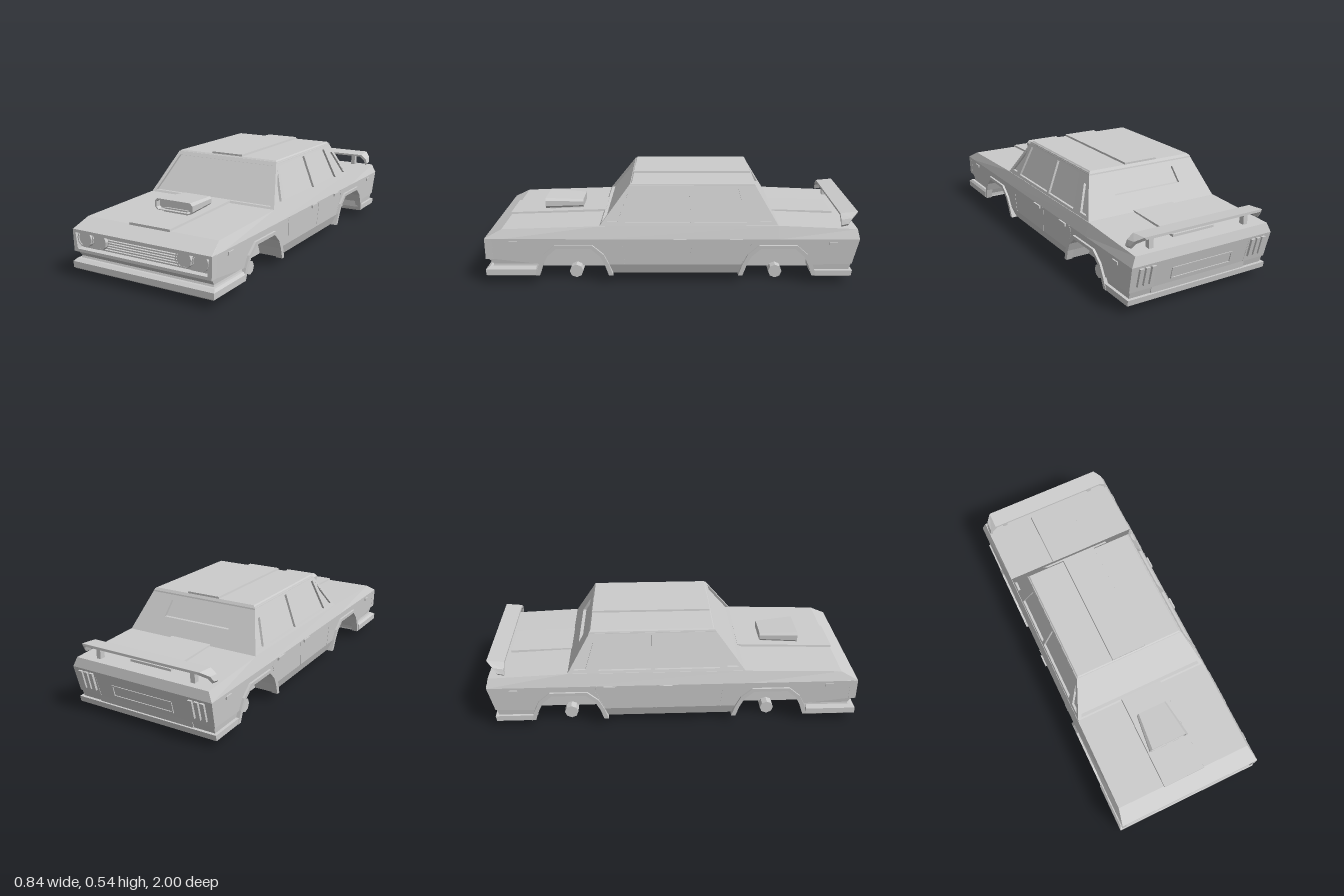
import * as THREE from 'three';

const lerp = THREE.MathUtils.lerp;
const ramp = (y, y0, a, y1, b) => lerp(a, b, (y - y0) / (y1 - y0));

// Surface rules: half width of the shell, and z of windscreen, rear screen and tail at height y
const halfWidth = y => y > 0.31 ? ramp(y, 0.31, 0.39, 0.525, 0.312)
  : y > 0.25 ? ramp(y, 0.25, 0.412, 0.31, 0.39) : ramp(y, 0.105, 0.405, 0.25, 0.412);
const screenZ = y => ramp(y, 0.31, 0.395, 0.525, 0.23);
const rearScreenZ = y => ramp(y, 0.31, -0.56, 0.525, -0.43);
const tailZ = y => ramp(y, 0.11, -0.952, 0.25, -0.985);

export function createModel() {
  const model = new THREE.Group();
  const material = new THREE.MeshStandardMaterial({ color: 0xcccccc, flatShading: true });

  // Adds a closed solid, turning its faces outward if they point inward
  function add(name, geometry) {
    const g = geometry.index ? geometry.toNonIndexed() : geometry;
    const p = g.attributes.position;
    const a = new THREE.Vector3(), b = new THREE.Vector3(), c = new THREE.Vector3();
    let volume = 0;
    for (let i = 0; i < p.count; i += 3) {
      a.fromBufferAttribute(p, i); b.fromBufferAttribute(p, i + 1); c.fromBufferAttribute(p, i + 2);
      volume += a.dot(b.cross(c));
    }
    if (volume < 0) for (let i = 0; i < p.count; i += 3) {
      b.fromBufferAttribute(p, i + 1); c.fromBufferAttribute(p, i + 2);
      p.setXYZ(i + 1, c.x, c.y, c.z); p.setXYZ(i + 2, b.x, b.y, b.z);
    }
    g.computeVertexNormals();
    const mesh = new THREE.Mesh(g, material);
    mesh.name = name;
    model.add(mesh);
  }

  // Skins a row of equal cross-sections and caps both ends
  function loft(name, rings) {
    const n = rings[0].length, index = [];
    for (let r = 0; r < rings.length - 1; r++) for (let i = 0; i < n; i++) {
      const a = r * n + i, b = r * n + (i + 1) % n;
      index.push(a, b, b + n, a, b + n, a + n);
    }
    const last = (rings.length - 1) * n;
    for (let i = 1; i < n - 1; i++) index.push(0, i + 1, i, last, last + i, last + i + 1);
    const g = new THREE.BufferGeometry();
    g.setAttribute('position', new THREE.Float32BufferAttribute(rings.flat(2), 3));
    g.setIndex(index);
    add(name, g);
  }

  // Stack of rectangles: [y, front z, back z, half width]
  const stack = (name, levels) => loft(name, levels.map(([y, f, b, x]) =>
    [[-x, y, f], [x, y, f], [x, y, b], [-x, y, b]]));

  // Extruded outline with holes, bent into place by a rule
  function sheet(name, outline, holes, depth, place) {
    const toPts = list => list.map(q => new THREE.Vector2(...q));
    const shape = new THREE.Shape(toPts(outline));
    shape.holes = holes.map(h => new THREE.Path(toPts(h)));
    const g = new THREE.ExtrudeGeometry(shape, { depth, bevelEnabled: false });
    const p = g.attributes.position;
    for (let i = 0; i < p.count; i++) p.setXYZ(i, ...place(p.getX(i), p.getY(i), p.getZ(i)));
    add(name, g);
  }

  // Outline in (z, y) following both flanks, standing proud by out
  function flanks(name, outline, holes, depth, out = 0) {
    for (const s of [1, -1]) sheet(name, outline, holes, depth,
      (z, y, d) => [s * (halfWidth(y) + out - depth + d), y, z]);
  }
  const rect = (x0, x1, y0, y1) => [[x0, y0], [x1, y0], [x1, y1], [x0, y1]];
  const trapezoid = (xb, xt, y0, y1) => [[-xb, y0], [xb, y0], [xt, y1], [-xt, y1]];

  const wheels = [0.53, -0.555];
  const arch = (c, pts) => [...pts.map(([d, y]) => [c - d, y]), ...pts.map(([d, y]) => [c + d, y]).reverse()];
  const archInner = [[0.185, 0.045], [0.165, 0.105], [0.14, 0.155], [0.09, 0.2]];
  const archOuter = [[0.208, 0.045], [0.187, 0.11], [0.16, 0.165], [0.1, 0.218]];

  // Lower body: flanks with wheel arches, centre tub and sills
  const cut = archInner.slice(1);
  flanks('bodySide', [[0.965, 0.25], [-0.985, 0.25], [-0.952, 0.11],
    ...arch(wheels[1], cut), ...arch(wheels[0], cut), [0.965, 0.138]], [], 0.135);
  stack('floorTub', [[0.05, 0.96, -0.94, 0.28], [0.11, 0.96, -0.95, 0.28], [0.25, 0.965, -0.985, 0.28]]);
  stack('sill', [[0.05, 0.345, -0.37, 0.385], [0.105, 0.365, -0.39, 0.405]]);
  for (const c of wheels) {
    flanks('wheelArchFlare', [...arch(c, archOuter), ...arch(c, archInner).reverse()], [], 0.035, 0.012);
    const axle = new THREE.CylinderGeometry(0.037, 0.037, 0.66, 8);
    axle.rotateZ(Math.PI / 2).translate(0, 0.037, c);
    add('axle', axle);
  }

  // Bumpers with the recessed bands above them
  stack('frontValance', [[0.07, 0.975, 0.725, 0.4], [0.105, 0.96, 0.705, 0.395], [0.142, 0.99, 0.72, 0.4]]);
  stack('frontBumper', [[0.042, 0.99, 0.735, 0.41], [0.05, 1, 0.735, 0.42],
    [0.082, 1, 0.73, 0.42], [0.095, 0.98, 0.73, 0.41]]);
  stack('rearValance', [[0.065, -0.73, -0.935, 0.395], [0.115, -0.73, -0.95, 0.4]]);
  stack('rearBumper', [[0.035, -0.76, -0.935, 0.395], [0.045, -0.755, -0.95, 0.412], [0.075, -0.75, -0.955, 0.412]]);

  // Bonnet, shoulder and boot deck: [lower z, upper z, upper y, upper half width]
  loft('upperDeck', [[1, 1, 0.252, 0.41], [0.91, 0.91, 0.298, 0.39], [0.39, 0.39, 0.315, 0.39],
    [-0.56, -0.56, 0.318, 0.39], [-0.985, -0.975, 0.3, 0.39]].map(([zb, zt, y, x]) =>
    [[-0.412, 0.25, zb], [0.412, 0.25, zb], [x, y, zt], [-x, y, zt]]));
  const stripe = (name, x, stations) => loft(name, stations.map(([z, y]) =>
    [[-x - 0.008, y - 0.04, z], [x + 0.008, y - 0.04, z], [x, y, z], [-x, y, z]]));
  stripe('bonnetBulge', 0.12, [[0.915, 0.308], [0.38, 0.327]]);
  stripe('bootBulge', 0.12, [[-0.54, 0.326], [-0.89, 0.316]]);

  // Nose frame, grille and headlamps
  sheet('noseFrame', trapezoid(0.408, 0.412, 0.138, 0.252), [trapezoid(0.385, 0.395, 0.153, 0.237)], 0.04,
    (x, y, d) => [x, y, 0.96 + d]);
  for (let i = 0; i < 6; i++) add('grilleSlat',
    new THREE.BoxGeometry(0.5, 0.007, 0.015).translate(0, 0.164 + i * 0.0127, 0.97));
  const lamp = k => [[0.036, 0.03], [0.045, 0.005], [0.039, -0.02], [0.02, -0.037],
    [-0.02, -0.037], [-0.039, -0.02], [-0.045, 0.005], [-0.036, 0.03]].map(([x, y]) => [x * k, y * k]);
  for (const x0 of [-0.343, -0.25, 0.25, 0.343]) {
    sheet('headlampRim', lamp(1), [lamp(0.87)], 0.035, (x, y, d) => [x0 + x, 0.206 + y, 0.96 + d]);
    sheet('headlampLens', lamp(0.9), [], 0.027, (x, y, d) => [x0 + x, 0.206 + y, 0.96 + d]);
  }

  // Cabin: glass core, pillars with window openings, roof
  stack('glass', [0.29, 0.52].map(y => [y, screenZ(y) - 0.018, rearScreenZ(y) + 0.018, halfWidth(y) - 0.013]));
  flanks('cabinSide', [[0.395, 0.31], [0.23, 0.525], [-0.43, 0.525], [-0.56, 0.31]], [
    [[0.255, 0.33], [0.212, 0.5], [-0.085, 0.505], [-0.092, 0.33]],
    [[-0.112, 0.33], [-0.108, 0.505], [-0.345, 0.5], [-0.39, 0.33]],
    [[0.355, 0.335], [0.24, 0.485], [0.245, 0.47], [0.295, 0.335]],
    [[-0.415, 0.47], [-0.437, 0.47], [-0.525, 0.335], [-0.46, 0.335]]], 0.02);
  sheet('windscreenFrame', trapezoid(0.389, 0.311, 0.31, 0.525), [trapezoid(0.368, 0.298, 0.325, 0.507)], 0.025,
    (x, y, d) => [x, y, screenZ(y) - d]);
  sheet('rearScreenFrame', trapezoid(0.389, 0.311, 0.31, 0.525), [trapezoid(0.2, 0.185, 0.405, 0.485)], 0.025,
    (x, y, d) => [x, y, rearScreenZ(y) + d]);
  stack('roof', [[0.505, 0.24, -0.44, 0.318], [0.518, 0.235, -0.437, 0.315], [0.531, 0.22, -0.428, 0.303]]);
  stripe('roofStripe', 0.095, [[0.22, 0.541], [-0.428, 0.541]]);

  // Door seams, handles and side marker lamps
  for (const [zt, zm, zb] of [[-0.1, -0.1, -0.088], [0.265, 0.272, 0.262], [-0.4, -0.415, -0.365]]) {
    const w = 0.003;
    flanks('doorSeam', [[zt - w, 0.25], [zm - w, 0.22], [zb - w, 0.105],
      [zb + w, 0.105], [zm + w, 0.22], [zt + w, 0.25]], [], 0.01, 0.0015);
  }
  for (const z of [-0.035, -0.333]) flanks('doorHandle', rect(z - 0.034, z + 0.034, 0.234, 0.249), [], 0.015, 0.009);
  for (const z of [0.848, -0.845]) flanks('markerLamp', rect(z - 0.022, z + 0.022, 0.22, 0.236), [], 0.015, 0.007);

  // Bonnet scoop with a recessed chamfered mouth
  const mouth = (w, y0, y1, c, z) => [[-w + c, y0, z], [w - c, y0, z], [w, y0 + c, z], [w, y1 - c, z],
    [w - c, y1, z], [-w + c, y1, z], [-w, y1 - c, z], [-w, y0 + c, z]];
  stack('scoopBase', [[0.305, 0.7, 0.53, 0.075], [0.338, 0.7, 0.53, 0.07]]);
  loft('scoop', [mouth(0.114, 0.327, 0.386, 0.014, 0.72), mouth(0.105, 0.331, 0.379, 0.01, 0.72),
    mouth(0.105, 0.331, 0.379, 0.01, 0.7)].reverse().concat([]).reverse().concat([]).length
    ? [mouth(0.105, 0.331, 0.379, 0.01, 0.69), mouth(0.105, 0.331, 0.379, 0.01, 0.72),
      mouth(0.114, 0.327, 0.386, 0.014, 0.72), mouth(0.088, 0.33, 0.372, 0.01, 0.51)] : []);

  // Boot spoiler with drooping, tapered ends: [x, y, rear z]
  loft('spoiler', [[-0.388, 0.322, -0.925], [-0.378, 0.35, -0.945], [-0.345, 0.376, -0.98],
    [0.345, 0.376, -0.98], [0.378, 0.35, -0.945], [0.388, 0.322, -0.925]].map(([x, y, z]) => {
    const inner = x * 0.97, low = y - 0.013;
    return [[x, y - 0.002, -0.887], [x, y + 0.007, z], [inner, low + 0.007, z], [inner, low, -0.887]];
  }));
  for (const x of [-0.28, 0.28]) add('spoilerStrut',
    new THREE.BoxGeometry(0.025, 0.07, 0.03).translate(x, 0.335, -0.925));

  // Tail lamps and number plate surround on the raked tail
  const onTail = out => (x, y, d) => [x, y, tailZ(y) + 0.012 - out - d];
  for (const s of [-1, 1]) for (const x of [0.295, 0.328, 0.361])
    sheet('tailLamp', rect(s * x - 0.011, s * x + 0.011, 0.14, 0.238), [], 0.02, onTail(0.005));
  sheet('plateSurround', rect(-0.18, 0.18, 0.13, 0.195), [rect(-0.172, 0.172, 0.137, 0.188)], 0.012, onTail(0.004));
  return model;
}
